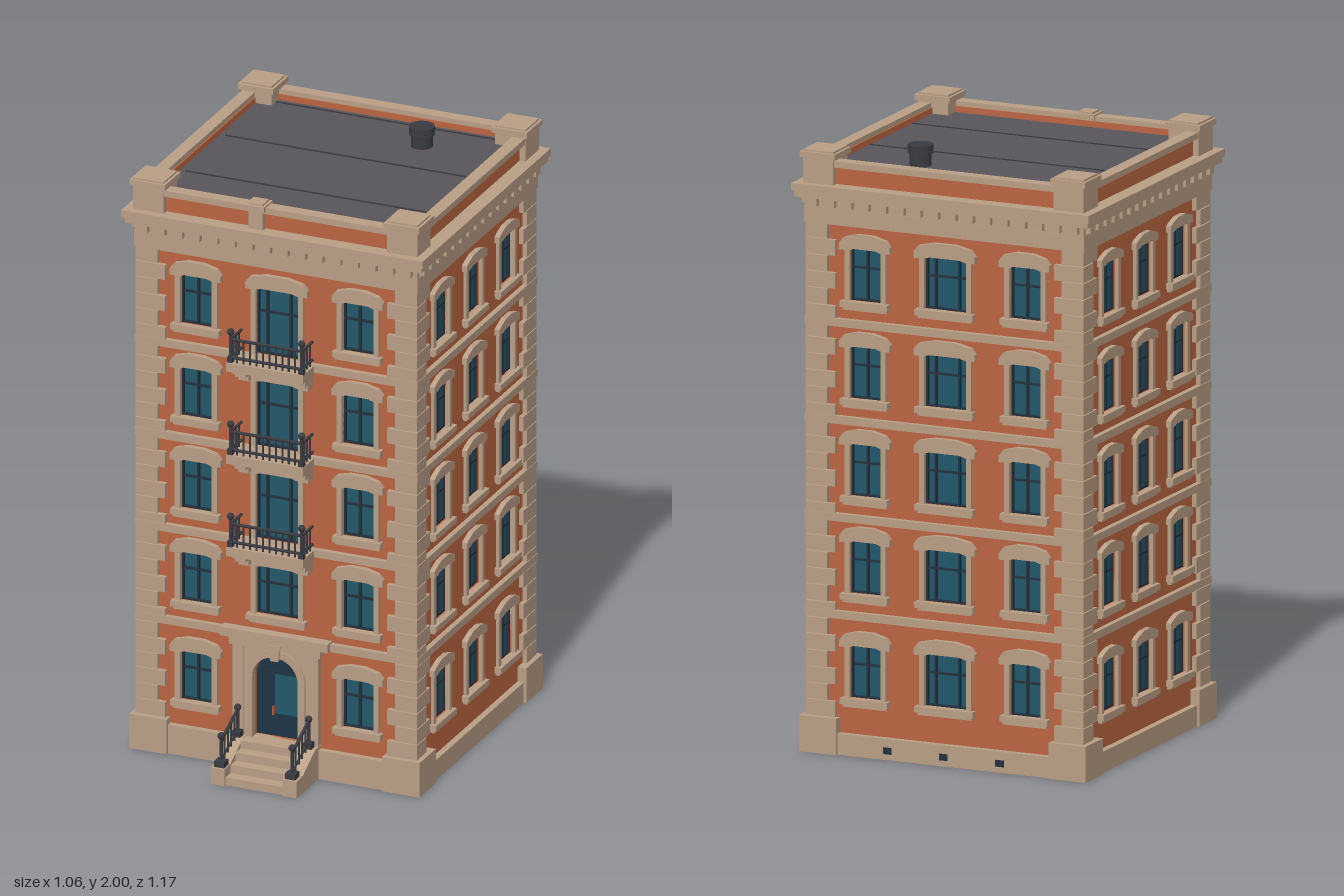
import * as THREE from 'three';

const paint = (name, color) => Object.assign(new THREE.MeshStandardMaterial({ color }), { name });
const brick = paint('brick', 0xbc6642), stone = paint('stone', 0xba9f86), glass = paint('glass', 0x22586a);
const frame = paint('window frame', 0x22303c), iron = paint('iron', 0x3a3b42), roofing = paint('roofing', 0x59565b);
const lining = paint('inner lining', 0x503a1c), doorBlue = paint('door', 0x1e3447), brass = paint('handle', 0xb0562c);

const HX = 0.48, HZ = 0.463, Z0 = -0.073;          // half sizes of the brick body and its centre in z
const BANDS = [0.45, 0.773, 1.096, 1.419], BAND_H = 0.026;
const SILLS = [0.19, 0.537, 0.86, 1.183, 1.507], WIN_H = 0.175;

function add(parent, name, geometry, material, x = 0, y = 0, z = 0) {
  const m = new THREE.Mesh(geometry, material);
  m.name = name;
  m.position.set(x, y, z);
  parent.add(m);
  return m;
}

// Box given by its limits on each axis
const box = (parent, name, mat, x0, x1, y0, y1, z0, z1) =>
  add(parent, name, new THREE.BoxGeometry(x1 - x0, y1 - y0, z1 - z0), mat, (x0 + x1) / 2, (y0 + y1) / 2, (z0 + z1) / 2);

const poly = (pts) => new THREE.Shape(pts.map(([x, y]) => new THREE.Vector2(x, y)));
const rect = (x0, x1, y0, y1) => poly([[x0, y0], [x1, y0], [x1, y1], [x0, y1]]);
const plate = (parent, name, mat, shape, z0, z1) =>
  add(parent, name, new THREE.ExtrudeGeometry(shape, { depth: z1 - z0, bevelEnabled: false, curveSegments: 14 }), mat, 0, 0, z0);

// Round-headed opening of half width r
function arch(r, y0, spring) {
  const s = new THREE.Shape();
  s.moveTo(-r, y0);
  s.lineTo(r, y0);
  s.lineTo(r, spring);
  s.absarc(0, spring, r, 0, Math.PI, false);
  s.lineTo(-r, y0);
  return s;
}

// Straight round bar between two points
function bar(parent, name, a, b, r) {
  const p = new THREE.Vector3(...a), q = new THREE.Vector3(...b), d = q.clone().sub(p);
  const m = add(parent, name, new THREE.CylinderGeometry(r, r, d.length(), 8), iron);
  m.position.copy(p).add(q).multiplyScalar(0.5);
  m.quaternion.setFromUnitVectors(new THREE.Vector3(0, 1, 0), d.normalize());
}

// Newel with base and ball
function post(parent, x, y, z, h, base) {
  box(parent, 'newelBase', iron, x - base, x + base, y, y + 0.02, z - base, z + base);
  bar(parent, 'newel', [x, y, z], [x, y + h, z], 0.0065);
  add(parent, 'newelBall', new THREE.SphereGeometry(0.012, 12, 8), iron, x, y + h, z);
}

// Glazing, jambs, sill and shouldered lintel
function makeWindow(parent, { x, y, w, h, tall, door }) {
  const g = new THREE.Group(), a = w / 2, f = 0.006;
  g.name = 'window';
  g.position.set(x, y, 0);
  parent.add(g);
  box(g, 'glass', glass, -a - 0.003, a + 0.003, -0.003, h + 0.003, -0.042, -0.016);
  for (const s of [-1, 1]) {
    box(g, 'frameSide', frame, s * (a - f / 2) - f / 2, s * (a - f / 2) + f / 2, 0, h, -0.017, -0.005);
    const j = s * (a + 0.009);
    box(g, 'jamb', stone, j - 0.009, j + 0.009, 0, h, -0.01, 0.012);
  }
  for (const k of [f / 2, h * 0.63, h - f / 2]) box(g, 'frameRail', frame, -a, a, k - f / 2, k + f / 2, -0.017, -0.006);
  for (const k of w > 0.13 ? [-0.042, 0.042] : [0]) box(g, 'mullion', frame, k - 0.004, k + 0.004, 0, h, -0.017, -0.006);
  if (!door) {
    box(g, 'sill', stone, -a - 0.029, a + 0.029, -0.02, 0, -0.015, 0.024);
    box(g, 'apron', stone, -a - 0.022, a + 0.022, -0.03, -0.02, -0.01, 0.015);
  }
  const e = a + (tall ? 0.034 : 0.028), t = tall ? 0.048 : 0.036;
  plate(g, 'lintel', stone, poly([[-e, h - 0.006], [-a, h - 0.006], [-a * 0.7, h], [a * 0.7, h], [a, h - 0.006], [e, h - 0.006],
    [e, h + 0.016], [e - 0.016, h + t - 0.012], [a * 0.5, h + t], [-a * 0.5, h + t], [-e + 0.016, h + t - 0.012], [-e, h + 0.016]]), -0.01, 0.018);
}

// One side of the building, facing local +z with the brick at z = 0
function makeFacade(name, half, windows, flip, plinth, entrance) {
  const g = new THREE.Group();
  g.name = name;
  const strip = (n, mat, y0, y1, p, back = -0.01) => box(g, n, mat, -half - p, half + p, y0, y1, back, p);

  const wall = rect(-half, half, 0, 1.95);
  for (const { x, y, w, h } of windows) wall.holes.push(rect(x - w / 2, x + w / 2, y, y + h));
  if (entrance) wall.holes.push(arch(0.08, 0.11, 0.32));
  plate(g, 'brickWall', brick, wall, -0.03, 0);
  box(g, 'innerLining', lining, -half + 0.03, half - 0.03, 0, 1.9, -0.036, -0.031);
  windows.forEach((w) => makeWindow(g, w));

  // Plinth with taller corner blocks
  strip('plinth', stone, 0, plinth, 0.022);
  for (const s of [-1, 1]) {
    const c = s * (half - 0.035);
    box(g, 'plinthCorner', stone, c - 0.066, c + 0.066, 0, 0.12, -0.01, 0.031);
    // Alternating corner stones
    const n = 30, step = (1.76 - 0.12) / n;
    for (let i = 0; i < n; i++) {
      const w = (i + flip) % 2 ? 0.078 : 0.105, q = s * (half + 0.016 - w / 2), y = 0.12 + i * step;
      box(g, 'quoin', stone, q - w / 2, q + w / 2, y + 0.0015, y + step - 0.0015, -0.005, 0.016);
    }
  }
  for (const y of BANDS) strip('floorBand', stone, y, y + BAND_H, 0.018);

  // Cornice with dentils
  strip('frieze', stone, 1.755, 1.81, 0.019);
  strip('dentilBed', stone, 1.81, 1.842, 0.017);
  const count = 16, pitch = (2 * half + 0.03) / count;
  for (let i = 0; i < count; i++) {
    const x = -half - 0.015 + (i + 0.5) * pitch;
    box(g, 'dentil', stone, x - 0.018, x + 0.018, 1.815, 1.842, 0.01, 0.036);
  }
  strip('corona', stone, 1.842, 1.862, 0.043);
  strip('corniceTop', stone, 1.862, 1.887, 0.051, -0.03);
  strip('parapetCap', stone, 1.945, 1.966, 0.018, -0.026);
  return g;
}

function makeEntrance(g) {
  const surround = rect(-0.15, 0.15, 0.09, 0.45);
  surround.holes.push(arch(0.08, 0.105, 0.32));
  plate(g, 'doorSurround', stone, surround, -0.005, 0.018);
  const ring = arch(0.105, 0.11, 0.32);
  ring.holes.push(arch(0.08, 0.1101, 0.32));
  plate(g, 'archMoulding', stone, ring, 0, 0.026);
  plate(g, 'keystone', stone, poly([[-0.014, 0.39], [0.014, 0.39], [0.022, 0.445], [-0.022, 0.445]]), 0, 0.034);
  for (const s of [-1, 1]) box(g, 'pilaster', stone, s * 0.132 - 0.018, s * 0.132 + 0.018, 0.1, 0.43, 0, 0.024);
  box(g, 'entablature', stone, -0.16, 0.16, 0.425, 0.452, 0, 0.03);
  box(g, 'doorHood', stone, -0.19, 0.19, 0.452, 0.482, 0, 0.036);
  plate(g, 'door', doorBlue, arch(0.082, 0.1, 0.32), -0.042, -0.014);
  box(g, 'doorGlass', glass, -0.016, 0.068, 0.19, 0.33, -0.014, -0.01);
  box(g, 'transom', frame, -0.08, 0.08, 0.33, 0.338, -0.014, -0.006);
  box(g, 'doorHandle', brass, -0.023, -0.017, 0.185, 0.215, -0.014, -0.004);
}

// Stone steps between sloped cheek walls with iron handrails
function makeStoop() {
  const g = new THREE.Group();
  g.name = 'stoop';
  for (let i = 0; i < 4; i++) box(g, 'step', stone, -0.102, 0.102, i * 0.0275, (i + 1) * 0.0275, 0.38, 0.578 - i * 0.04);
  const side = poly([[0.38, 0], [0.587, 0], [0.587, 0.058], [0.54, 0.06], [0.44, 0.112], [0.38, 0.112]]);
  for (const s of [-1, 1]) {
    const cheek = plate(g, 'cheekWall', stone, side, 0, 0.05);
    cheek.rotation.y = -Math.PI / 2;
    cheek.position.x = s > 0 ? 0.152 : -0.102;
    const x = s * 0.125;
    post(g, x, 0.058, 0.562, 0.105, 0.018);
    post(g, x, 0.112, 0.43, 0.1, 0.014);
    bar(g, 'handrail', [x, 0.145, 0.562], [x, 0.205, 0.43], 0.006);
    bar(g, 'lowerRail', [x, 0.078, 0.562], [x, 0.135, 0.43], 0.004);
    for (let i = 1; i < 5; i++) {
      const t = i / 5, z = 0.562 - 0.132 * t;
      bar(g, 'baluster', [x, 0.065 + 0.05 * t, z], [x, 0.145 + 0.06 * t, z], 0.0035);
    }
  }
  return g;
}

// Stone slab on stepped brackets with an iron railing
function makeBalcony(y) {
  const g = new THREE.Group(), zf = 0.486, zb = 0.4, X = 0.125;
  g.name = 'balcony';
  g.position.y = y;
  box(g, 'slab', stone, -0.135, 0.135, -0.006, 0.024, 0.38, 0.5);
  for (const s of [-1, 1]) {
    [[0.478, -0.02], [0.455, -0.04], [0.43, -0.06]].forEach(([z, b]) =>
      box(g, 'bracket', stone, s * 0.105 - 0.018, s * 0.105 + 0.018, b, b + 0.02, 0.38, z));
    post(g, s * X, 0.024, zf, 0.105, 0.009);
    for (const h of [0.04, 0.103]) bar(g, 'sideRail', [s * X, h, zb], [s * X, h, zf], 0.005);
    for (const z of [0.42, 0.443, 0.465]) bar(g, 'baluster', [s * X, 0.024, z], [s * X, 0.103, z], 0.0035);
  }
  for (const h of [0.04, 0.103]) bar(g, 'frontRail', [-X, h, zf], [X, h, zf], 0.0055);
  for (let i = 1; i < 11; i++) {
    const x = -X + (2 * X * i) / 11;
    bar(g, 'baluster', [x, 0.024, zf], [x, 0.103, zf], 0.0035);
  }
  return g;
}

function parapetPost(parent, x, z, w, top) {
  const a = w / 2, b = a + 0.009;
  box(parent, 'parapetPost', stone, x - a, x + a, 1.88, top - 0.025, z - a, z + a);
  box(parent, 'postCap', stone, x - b, x + b, top - 0.025, top - 0.006, z - b, z + b);
  box(parent, 'postCapTop', stone, x - a, x + a, top - 0.006, top, z - a, z + a);
}

export function createModel() {
  const model = new THREE.Group();
  model.name = 'apartmentBuilding';

  const row = (xs, w, tall) => SILLS.flatMap((y) => xs.map((x) => ({ x, y, w, h: WIN_H, tall })));
  const outer = row([-0.285, 0.285], 0.112, true);
  const frontCentre = [{ x: 0, y: 0.537, w: 0.15, h: 0.172, tall: true },
    ...BANDS.slice(1).map((y) => ({ x: 0, y: y + BAND_H, w: 0.15, h: 0.235, tall: true, door: true }))];
  const sideWindows = row([-0.26, 0, 0.26], 0.108, false);

  // Four facades
  const front = makeFacade('frontFacade', HX, [...outer, ...frontCentre], 0, 0.1, true);
  makeEntrance(front);
  const back = makeFacade('backFacade', HX, [...outer, ...row([0], 0.15, true)], 0, 0.07);
  for (const x of [-0.2, 0, 0.2]) box(back, 'basementVent', frame, x - 0.015, x + 0.015, 0.02, 0.042, 0.02, 0.025);
  const left = makeFacade('leftFacade', HZ, sideWindows, 1, 0.07);
  const right = makeFacade('rightFacade', HZ, sideWindows, 1, 0.07);
  [[front, 0, Z0 + HZ, 0], [left, HX, Z0, 1], [back, 0, Z0 - HZ, 2], [right, -HX, Z0, 3]].forEach(([f, x, z, turn]) => {
    f.position.set(x, 0, z);
    f.rotation.y = (turn * Math.PI) / 2;
    model.add(f);
  });

  model.add(makeStoop());
  BANDS.slice(1).forEach((y) => model.add(makeBalcony(y)));

  // Roof, seams, parapet posts and vent
  box(model, 'roof', roofing, -HX + 0.02, HX - 0.02, 1.91, 1.93, Z0 - HZ + 0.02, Z0 + HZ - 0.02);
  for (const z of [-0.485, -0.165, 0.155]) box(model, 'roofSeam', iron, -0.43, 0.45, 1.929, 1.933, z - 0.003, z + 0.003);
  for (const sx of [-1, 1]) for (const sz of [-1, 1]) parapetPost(model, sx * 0.447, Z0 + sz * 0.433, 0.107, 1.997);
  parapetPost(model, -0.07, 0.387, 0.05, 1.978);
  [[0.036, 1.925, 1.975], [0.042, 1.972, 1.979], [0.042, 1.984, 2], [0.038, 1.978, 1.985]].forEach(([r, y0, y1]) =>
    add(model, 'roofVent', new THREE.CylinderGeometry(r, r, y1 - y0, 20), iron, 0.183, (y0 + y1) / 2, -0.345));
  return model;
}
